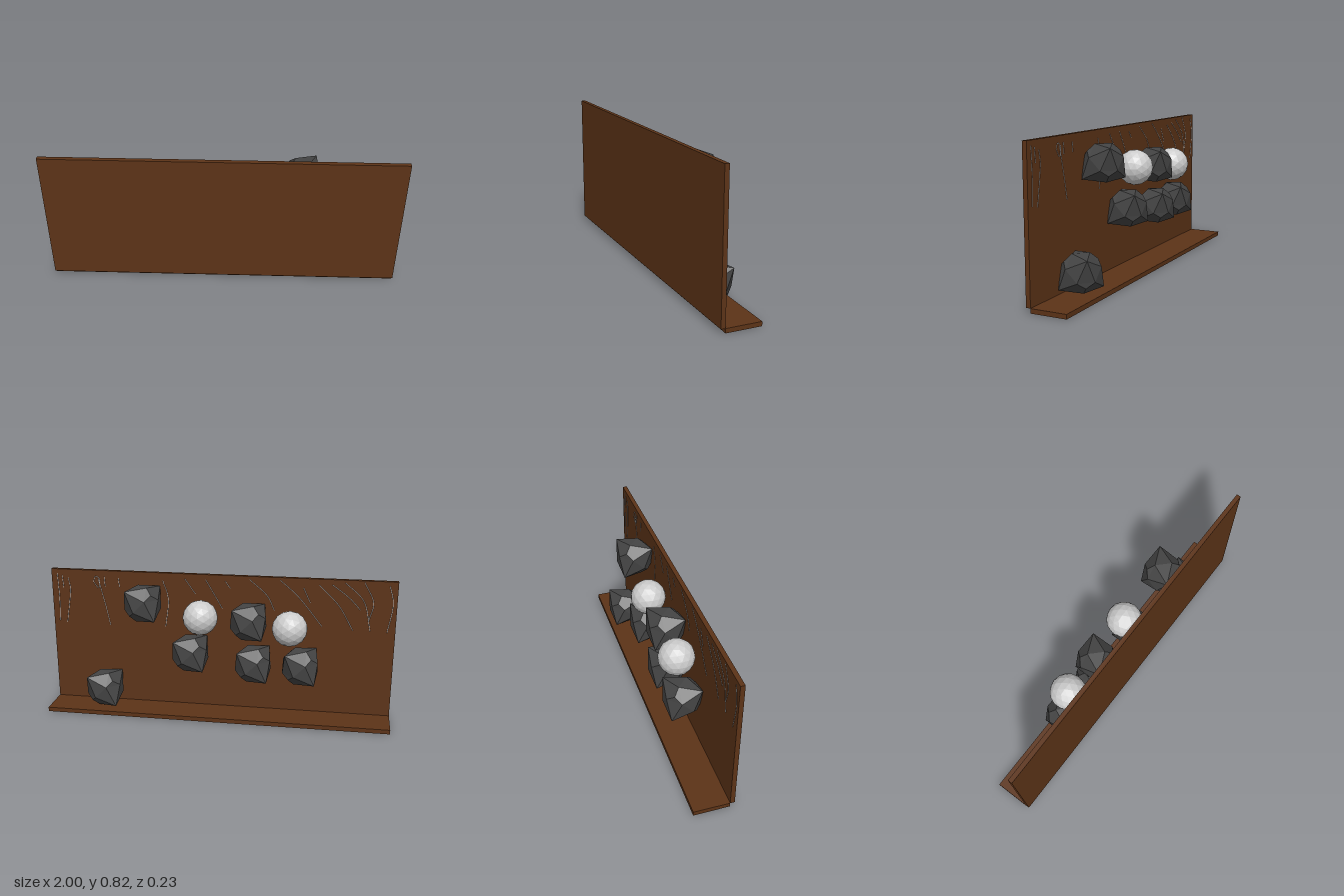
import * as THREE from 'three';

export function createModel() {
  const model = new THREE.Group();
  const wood = new THREE.MeshStandardMaterial({ color: 0x5c3317 });
  const stone = new THREE.MeshStandardMaterial({ color: 0x444444, flatShading: true });
  const pale = new THREE.MeshStandardMaterial({ color: 0xcccccc, flatShading: true });
  const thread = new THREE.MeshStandardMaterial({ color: 0xcccccc });

  const add = (name, geometry, material, x, y, z) => {
    const mesh = new THREE.Mesh(geometry, material);
    mesh.name = name;
    mesh.position.set(x, y, z);
    model.add(mesh);
    return mesh;
  };

  // Upright board and the shelf at its foot
  add('uprightBoard', new THREE.BoxGeometry(2, 0.8, 0.025), wood, 0, 0.425, 0.1025);
  add('shelf', new THREE.BoxGeometry(2, 0.025, 0.2), wood, 0, 0.0125, -0.01);

  // Rock: subdivided tetrahedron with its face centres pushed outward
  const rock = new THREE.TetrahedronGeometry(0.11, 2);
  const pos = rock.attributes.position;
  const v = new THREE.Vector3();
  for (let i = 0; i < pos.count; i++) {
    v.fromBufferAttribute(pos, i);
    if (v.x * v.y * v.z < -1e-6) v.multiplyScalar(1.33);
    pos.setXYZ(i, v.x, v.y, v.z);
  }
  rock.computeVertexNormals();
  [
    [0.43, 0.665], [0.675, 0.135], [0.155, 0.38],
    [-0.18, 0.585], [-0.21, 0.335], [-0.48, 0.335],
  ].forEach(([x, y], i) => add(`rock${i + 1}`, rock, stone, x, y, 0));

  // Faceted balls
  const ball = new THREE.IcosahedronGeometry(0.1, 2);
  [[0.093, 0.6], [-0.415, 0.56]].forEach(([x, y], i) => add(`ball${i + 1}`, ball, pale, x, y, -0.015));

  // Fine strands on the board's back face, each a run of x, y pairs
  const strands = [
    [0.965, 0.8, 0.96, 0.656, 0.965, 0.51],
    [0.936, 0.79, 0.93, 0.715],
    [0.9, 0.776, 0.89, 0.715, 0.92, 0.5],
    [0.745, 0.757, 0.734, 0.79, 0.71, 0.776, 0.717, 0.72, 0.745, 0.757],
    [0.717, 0.776, 0.68, 0.625, 0.653, 0.495],
    [0.68, 0.79, 0.676, 0.73],
    [0.595, 0.786, 0.59, 0.73],
    [0.33, 0.78, 0.3, 0.675, 0.318, 0.505],
    [0.2, 0.795, 0.14, 0.71],
    [0.08, 0.797, 0.017, 0.69, -0.017, 0.63],
    [-0.035, 0.79, -0.064, 0.75],
    [-0.173, 0.807, -0.277, 0.714, -0.318, 0.63],
    [-0.347, 0.81, -0.45, 0.72, -0.59, 0.55],
    [-0.48, 0.77, -0.52, 0.685],
    [-0.566, 0.79, -0.68, 0.676, -0.763, 0.536],
    [-0.64, 0.795, -0.74, 0.72, -0.8, 0.656],
    [-0.71, 0.81, -0.815, 0.71, -0.86, 0.536],
    [-0.815, 0.815, -0.87, 0.7, -0.85, 0.6],
    [-0.954, 0.8, -0.977, 0.7, -0.954, 0.53],
  ];
  strands.forEach((run, i) => {
    const points = [];
    for (let k = 0; k < run.length; k += 2) points.push(new THREE.Vector3(run[k], run[k + 1], 0));
    const curve = new THREE.CatmullRomCurve3(points);
    add(`strand${i + 1}`, new THREE.TubeGeometry(curve, 16, 0.002, 4), thread, 0, 0, 0.0895);
  });

  return model;
}
